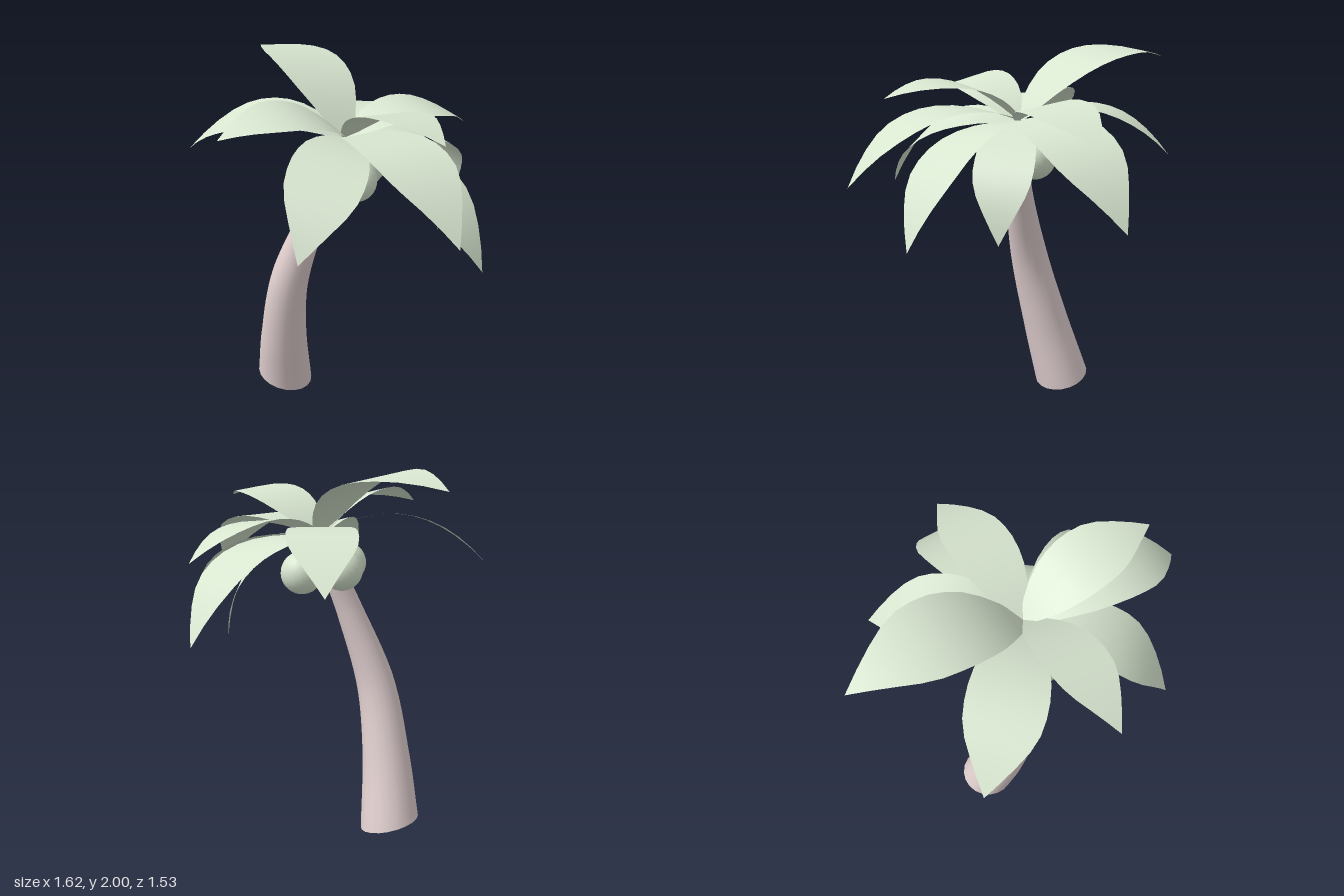
import * as THREE from 'three';

const V = (x, y, z) => new THREE.Vector3(x, y, z);

// Crown point where every frond starts
const CROWN = V(0.05, 1.63, 0);

// Relative half-width of a frond from base to tip
const OUTLINE = [0.15, 0.46, 0.68, 0.85, 0.95, 1, 1, 0.95, 0.8, 0.56, 0.29, 0];

// Fronds: tip, arch height and half-width (fractions of length), roll about the length
const FRONDS = [
  { tip: V(-0.81, 1.51, 0.02), arch: 0.2, roll: -0.14 },
  { tip: V(-0.6, 1.935, -0.63), arch: 0.187, roll: 0.1 },
  { tip: V(-0.065, 1.47, -0.77), arch: 0.2 },
  { tip: V(0.58, 1.2, -0.7), arch: 0.2, roll: 0.17, width: 0.2 },
  { tip: V(0.6, 1.58, -0.585), arch: 0.17, roll: 0.15, width: 0.2 },
  { tip: V(0.81, 1.085, 0.3), arch: 0.19, roll: 0.12, width: 0.185 },
  { tip: V(0.72, 1.355, 0.65), arch: 0.205, width: 0.21 },
  { tip: V(0.615, 1.78, 0.49), arch: 0.17, roll: -0.08 },
  { tip: V(-0.435, 1.75, 0.565), arch: 0.175, roll: -0.25, width: 0.205 },
  { tip: V(0, 1.25, 0.765), arch: 0.21, roll: -0.27 },
  { tip: V(0.545, 1.08, -0.06), arch: 0.21, width: 0.205 },
];

// Arched, pointed blade built from cross-sections of three points
function frondGeometry({ tip, arch, roll = 0, width = 0.22 }) {
  const chord = tip.clone().sub(CROWN);
  const length = chord.length();
  const along = chord.clone().normalize();
  const side = along.clone().cross(V(0, 1, 0)).normalize().applyAxisAngle(along, roll);
  const normal = side.clone().cross(along);
  const positions = [];
  const index = [];
  const last = OUTLINE.length - 1;
  OUTLINE.forEach((w, i) => {
    const t = i / last;
    const mid = CROWN.clone()
      .addScaledVector(chord, t)
      .addScaledVector(normal, 4 * arch * length * t * (1 - t));
    for (const s of [-1, 0, 1]) {
      positions.push(...mid.clone().addScaledVector(side, s * w * width * length).toArray());
    }
    if (i === last) return;
    for (let k = 0; k < 2; k++) {
      const a = i * 3 + k;
      index.push(a, a + 1, a + 3, a + 1, a + 4, a + 3);
    }
  });
  const geometry = new THREE.BufferGeometry();
  geometry.setAttribute('position', new THREE.Float32BufferAttribute(positions, 3));
  geometry.setIndex(index);
  geometry.computeVertexNormals();
  return geometry;
}

// Tube of unit radius whose rings are scaled to taper, with a slanted foot
function trunkGeometry(curve, radiusAt) {
  const rings = 24, sides = 20;
  const geometry = new THREE.TubeGeometry(curve, rings, 1, sides, false);
  const pos = geometry.attributes.position;
  const p = V(0, 0, 0);
  for (let i = 0; i <= rings; i++) {
    const t = i / rings;
    const centre = curve.getPointAt(t);
    const slant = Math.max(0, 1 - 4 * t);
    for (let j = 0; j <= sides; j++) {
      const n = i * (sides + 1) + j;
      p.fromBufferAttribute(pos, n).sub(centre).multiplyScalar(radiusAt(t));
      p.y += slant * (0.18 * p.z - 0.18 * p.x);
      p.add(centre);
      pos.setXYZ(n, p.x, p.y, p.z);
    }
  }
  return geometry;
}

export function createModel() {
  const palm = new THREE.Group();
  palm.name = 'palmTree';

  const bark = new THREE.MeshStandardMaterial({ color: 0xe5d3d3, side: THREE.DoubleSide });
  bark.name = 'bark';
  const green = new THREE.MeshStandardMaterial({ color: 0xd8e6d0, side: THREE.DoubleSide });
  green.name = 'paleGreen';

  const add = (name, geometry, material, parent = palm) => {
    const mesh = new THREE.Mesh(geometry, material);
    mesh.name = name;
    parent.add(mesh);
    return mesh;
  };

  // Leaning, tapering trunk, open at the foot
  const curve = new THREE.CatmullRomCurve3([
    V(-0.355, 0.045, -0.13),
    V(-0.325, 0.4, -0.035),
    V(-0.257, 0.8, 0.043),
    V(-0.113, 1.2, 0.055),
    V(-0.035, 1.4, 0.035),
    V(0.045, 1.61, 0),
  ]);
  const radii = [0.16, 0.128, 0.103, 0.072, 0.05];
  const radiusAt = (t) => {
    const f = t * (radii.length - 1);
    const i = Math.min(Math.floor(f), radii.length - 2);
    return THREE.MathUtils.lerp(radii[i], radii[i + 1], f - i);
  };
  add('trunk', trunkGeometry(curve, radiusAt), bark);

  // Cluster of coconuts under the crown
  const coconuts = new THREE.Group();
  coconuts.name = 'coconuts';
  palm.add(coconuts);
  const nut = new THREE.SphereGeometry(0.112, 24, 16);
  for (const [x, y, z] of [
    [-0.078, 1.465, 0.115],
    [-0.075, 1.465, -0.075],
    [0.13, 1.45, -0.11],
    [0.125, 1.435, 0.1],
  ]) {
    add('coconut', nut, green, coconuts).position.set(x, y, z);
  }

  // Crown of fronds
  const crown = new THREE.Group();
  crown.name = 'fronds';
  palm.add(crown);
  for (const frond of FRONDS) add('frond', frondGeometry(frond), green, crown);

  return palm;
}
